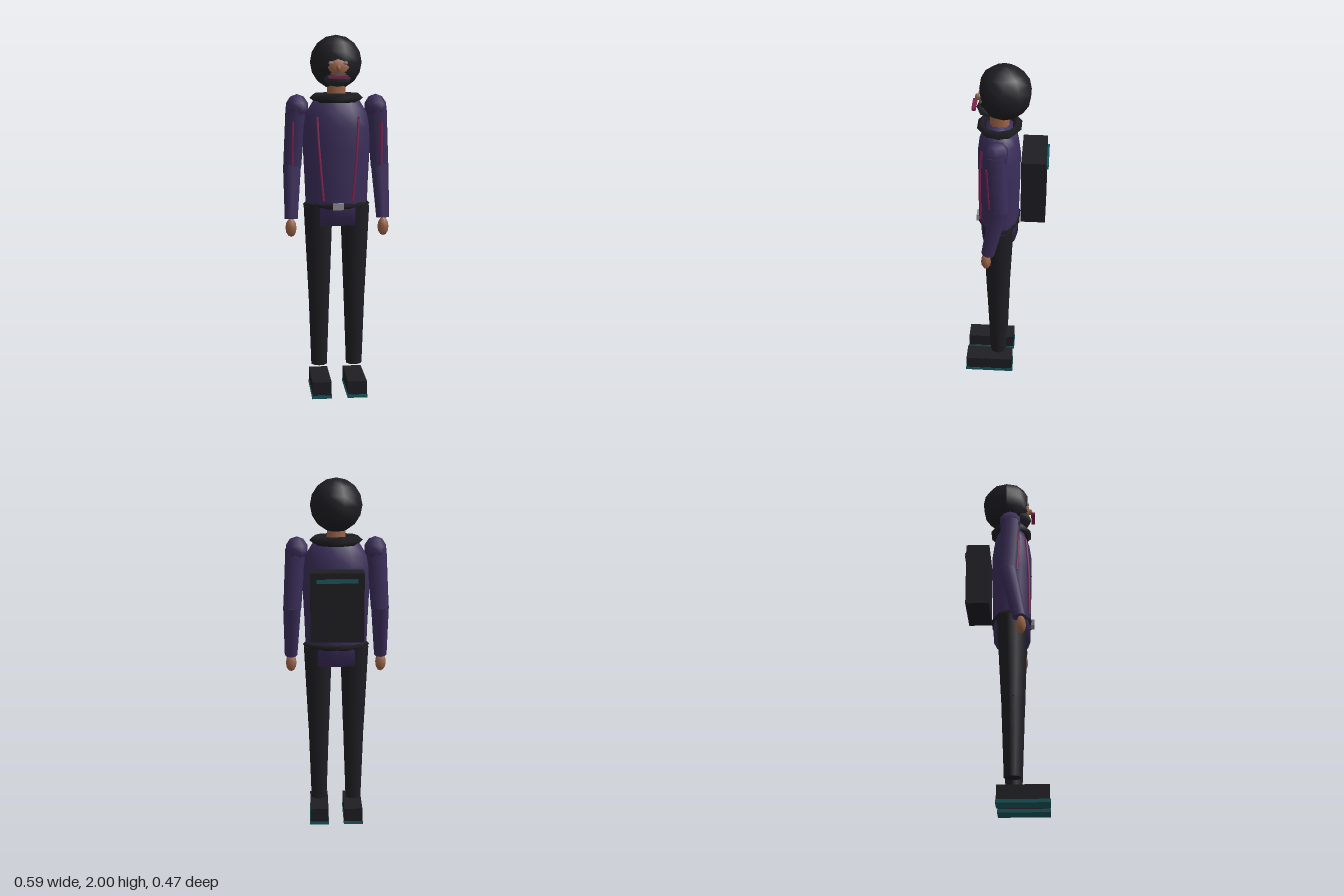
import * as THREE from 'three';

const mat = (color) => new THREE.MeshStandardMaterial({ color, side: THREE.DoubleSide });
const V = (x, y, z) => new THREE.Vector3(x, y, z);

export function createModel() {
  const model = new THREE.Group();
  model.name = 'travellerFigure';
  const jacket = mat(0x3b2e5a), dark = mat(0x1e1e23), skin = mat(0x9c6548), pink = mat(0x80214f),
    teal = mat(0x17595f), metal = mat(0x8e8e96), mask = mat(0x2a2a30);

  const add = (name, geometry, material, x = 0, y = 0, z = 0) => {
    const mesh = new THREE.Mesh(geometry, material);
    mesh.name = name;
    mesh.position.set(x, y, z);
    model.add(mesh);
    return mesh;
  };
  const box = (name, m, w, h, d, x, y, z) => add(name, new THREE.BoxGeometry(w, h, d), m, x, y, z);
  const ball = (name, m, rx, ry, rz, x, y, z, ws = 8, hs = 6) =>
    add(name, new THREE.SphereGeometry(1, ws, hs).scale(rx, ry, rz), m, x, y, z);
  // Tapered limb running from a (radius ra) down to b (radius rb)
  const limb = (name, m, a, b, ra, rb, sides = 8) => {
    const dir = a.clone().sub(b);
    const mesh = add(name, new THREE.CylinderGeometry(ra, rb, dir.length(), sides), m);
    mesh.position.copy(a).add(b).multiplyScalar(0.5);
    mesh.quaternion.setFromUnitVectors(V(0, 1, 0), dir.normalize());
    return mesh;
  };
  // Horizontal ring with a diamond section, stretched to rx by rz
  const ring = (name, rx, rz, tube, height, y, z) =>
    add(name, new THREE.TorusGeometry(1, tube, 4, 10).rotateX(Math.PI / 2)
      .scale(rx / (1 + tube), height / tube, rz / (1 + tube)), dark, 0, y, z);

  // Jacket body
  const profile = [[0, 0.96], [0.165, 0.96], [0.173, 1.08], [0.177, 1.2], [0.186, 1.38], [0.185, 1.5],
    [0.168, 1.58], [0.125, 1.65], [0.05, 1.67]].map(([r, y]) => new THREE.Vector2(r, y));
  add('jacketBody', new THREE.LatheGeometry(profile, 12).scale(1, 1, 0.62), jacket, 0, 0, 0.033);
  ring('collar', 0.148, 0.122, 0.25, 0.026, 1.66, 0.03);
  ring('belt', 0.188, 0.118, 0.09, 0.016, 1.07, 0.032);
  box('beltBuckle', metal, 0.06, 0.036, 0.02, 0, 1.07, 0.15);

  // Head: hair mass flattened at the front, with the face showing through
  limb('neck', skin, V(0, 1.76, 0.03), V(0, 1.63, 0.03), 0.05, 0.052);
  const hair = ball('hair', dark, 0.143, 0.147, 0.146, 0, 1.853, 0.006, 10, 8);
  const p = hair.geometry.attributes.position;
  for (let i = 0; i < p.count; i++) p.setZ(i, Math.min(p.getZ(i), 0.122));
  hair.geometry.computeVertexNormals();
  ball('face', skin, 0.09, 0.085, 0.082, 0, 1.825, 0.06, 12, 8);
  ball('nose', skin, 0.013, 0.02, 0.016, 0, 1.82, 0.143, 6, 4);
  ball('mask', mask, 0.075, 0.042, 0.06, 0, 1.762, 0.09, 8, 6);
  box('maskBar', pink, 0.11, 0.014, 0.022, 0, 1.775, 0.161);

  // Backpack
  box('backpack', dark, 0.29, 0.375, 0.133, 0, 1.327, -0.157);
  box('backpackStrip', teal, 0.222, 0.02, 0.012, 0, 1.472, -0.228);

  for (const s of [1, -1]) {
    const side = s > 0 ? 'left' : 'right';
    ball(side + 'Eye', metal, 0.013, 0.01, 0.01, s * 0.04, 1.848, 0.13, 6, 4);
    // Jacket piping
    const path = new THREE.CatmullRomCurve3([V(s * 0.113, 1.56, 0.118), V(s * 0.105, 1.4, 0.131),
      V(s * 0.093, 1.25, 0.133), V(s * 0.08, 1.1, 0.133)]);
    add(side + 'JacketPiping', new THREE.TubeGeometry(path, 6, 0.007, 5), pink);
    // Arm
    ball(side + 'Shoulder', jacket, 0.063, 0.07, 0.068, s * 0.217, 1.61, 0.032, 6, 5);
    limb(side + 'UpperArm', jacket, V(s * 0.224, 1.61, 0.035), V(s * 0.245, 1.28, 0.018), 0.056, 0.05);
    limb(side + 'Forearm', jacket, V(s * 0.246, 1.29, 0.018), V(s * 0.256, 0.995, 0.08), 0.05, 0.036);
    limb(side + 'ArmPiping', pink, V(s * 0.243, 1.53, 0.083), V(s * 0.247, 1.29, 0.07), 0.006, 0.006, 5);
    ball(side + 'Hand', skin, 0.032, 0.052, 0.028, s * 0.257, 0.948, 0.09, 7, 6);
    // Leg and shoe
    limb(side + 'Thigh', dark, V(s * 0.103, 1.06, 0.035), V(s * 0.1, 0.58, 0.038), 0.083, 0.062, 10);
    limb(side + 'Shin', dark, V(s * 0.1, 0.6, 0.038), V(s * 0.1, 0.145, 0.037), 0.062, 0.046, 10);
    box(side + 'Shoe', dark, 0.106, 0.077, 0.276, s * 0.099, 0.0565, 0.091);
    box(side + 'Sole', teal, 0.111, 0.018, 0.284, s * 0.099, 0.009, 0.091);
  }
  return model;
}
